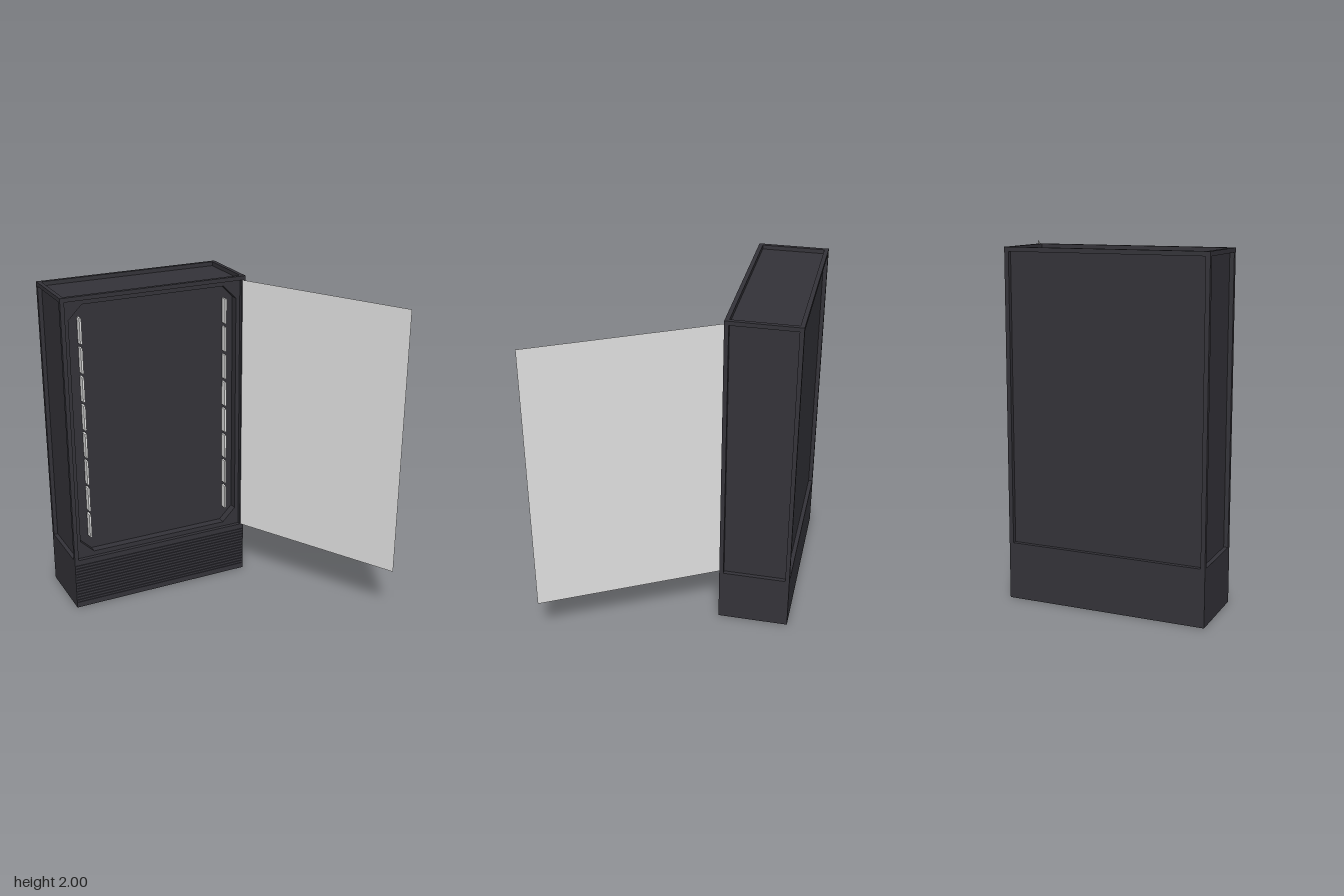
import * as THREE from 'three';

const X0 = -0.845, X1 = 0.327, Z0 = -0.703, Z1 = -0.275, H = 2;
const B = 0.025;          // frame bar thickness, also the panel recess
const BASE = 0.33;        // top of the hollow plinth
const POCKET = 0.05;      // depth of the eight-sided display pocket

export function createModel() {
  const model = new THREE.Group();
  model.name = 'displayCabinet';
  const mat = (name, color) => {
    const m = new THREE.MeshStandardMaterial({ color });
    m.name = name;
    return m;
  };
  const dark = mat('charcoal', 0x343339);
  const light = mat('lightStripWhite', 0xe2e2e2);
  const glass = mat('paleGlass', 0xe0e0e0);
  glass.side = THREE.DoubleSide;

  // Box given by its low and high corners
  function box(name, x0, x1, y0, y1, z0, z1, material = dark, parent = model) {
    const mesh = new THREE.Mesh(new THREE.BoxGeometry(x1 - x0, y1 - y0, z1 - z0), material);
    mesh.position.set((x0 + x1) / 2, (y0 + y1) / 2, (z0 + z1) / 2);
    mesh.name = name;
    parent.add(mesh);
    return mesh;
  }

  // Edge frame: four posts, and a ring of rails at the top
  const frame = new THREE.Group();
  frame.name = 'edgeFrame';
  model.add(frame);
  for (const x of [X0, X1 - B])
    for (const z of [Z0, Z1 - B]) box('cornerPost', x, x + B, BASE, H, z, z + B, dark, frame);
  for (const z of [Z0, Z1 - B]) box('topRail', X0 + B, X1 - B, H - B, H, z, z + B, dark, frame);
  for (const x of [X0, X1 - B]) box('topSideRail', x, x + B, H - B, H, Z0 + B, Z1 - B, dark, frame);

  // Recessed inner body
  const front = Z1 - B, back = front - POCKET;
  box('innerBody', X0 + B, X1 - B, BASE, H - B, Z0 + B, back);

  // Front surround with a chamfered opening
  const rect = new THREE.Shape([
    [X0 + B, BASE], [X1 - B, BASE], [X1 - B, H - B], [X0 + B, H - B],
  ].map(([x, y]) => new THREE.Vector2(x, y)));
  const l = -0.793, r = 0.276, b = 0.36, t = 1.945, c = 0.085;
  rect.holes.push(new THREE.Path([
    [l + c, b], [l, b + c], [l, t - c], [l + c, t],
    [r - c, t], [r, t - c], [r, b + c], [r - c, b],
  ].map(([x, y]) => new THREE.Vector2(x, y))));
  const surround = new THREE.Mesh(
    new THREE.ExtrudeGeometry(rect, { depth: POCKET, bevelEnabled: false }), dark);
  surround.position.z = back;
  surround.name = 'frontSurround';
  model.add(surround);

  // Two columns of thin upright strips inside the pocket
  const strips = new THREE.Group();
  strips.name = 'stripColumns';
  model.add(strips);
  for (const x of [-0.719, 0.212])
    for (let i = 0; i < 8; i++) {
      const y = 0.455 + i * 0.1787;
      box('lightStrip', x - 0.006, x + 0.006, y, y + 0.155, back, back + 0.042, light, strips);
    }

  // Hollow plinth, open underneath
  const W = 0.006;
  box('plinthBack', X0, X1, 0, BASE, Z0, Z0 + W);
  for (const x of [X0, X1 - W]) box('plinthSide', x, x + W, 0, BASE, Z0 + W, Z1);
  box('plinthTop', X0 + W, X1 - W, BASE - W, BASE, Z0 + W, Z1 - W);

  // Ribbed front grille, ribbed on both faces
  const grille = new THREE.Group();
  grille.name = 'frontGrille';
  model.add(grille);
  const low = 0.035, high = 0.295, ribs = 13, pitch = (high - low) / ribs;
  box('grilleSheet', X0 + W, X1 - W, low, high, Z1 - 0.014, Z1 - 0.006, dark, grille);
  box('grilleTopBand', X0 + W, X1 - W, high, BASE, Z1 - 0.02, Z1, dark, grille);
  box('grilleBottomBand', X0 + W, X1 - W, 0, low, Z1 - 0.02, Z1, dark, grille);
  for (let i = 0; i < ribs; i++) {
    const y = low + (i + 0.15) * pitch;
    box('grilleRib', X0 + W, X1 - W, y, y + pitch * 0.7, Z1 - 0.02, Z1, dark, grille);
  }

  // Open glass door, swung out from its hinge on the left post
  const hinge = new THREE.Vector2(0.305, -0.28), edge = new THREE.Vector2(0.845, 0.703);
  const d = edge.clone().sub(hinge);
  const door = new THREE.Mesh(new THREE.PlaneGeometry(d.length(), H - B - BASE), glass);
  door.position.set((hinge.x + edge.x) / 2, (H - B + BASE) / 2, (hinge.y + edge.y) / 2);
  door.rotation.y = -Math.atan2(d.y, d.x);
  door.name = 'glassDoor';
  model.add(door);

  return model;
}
